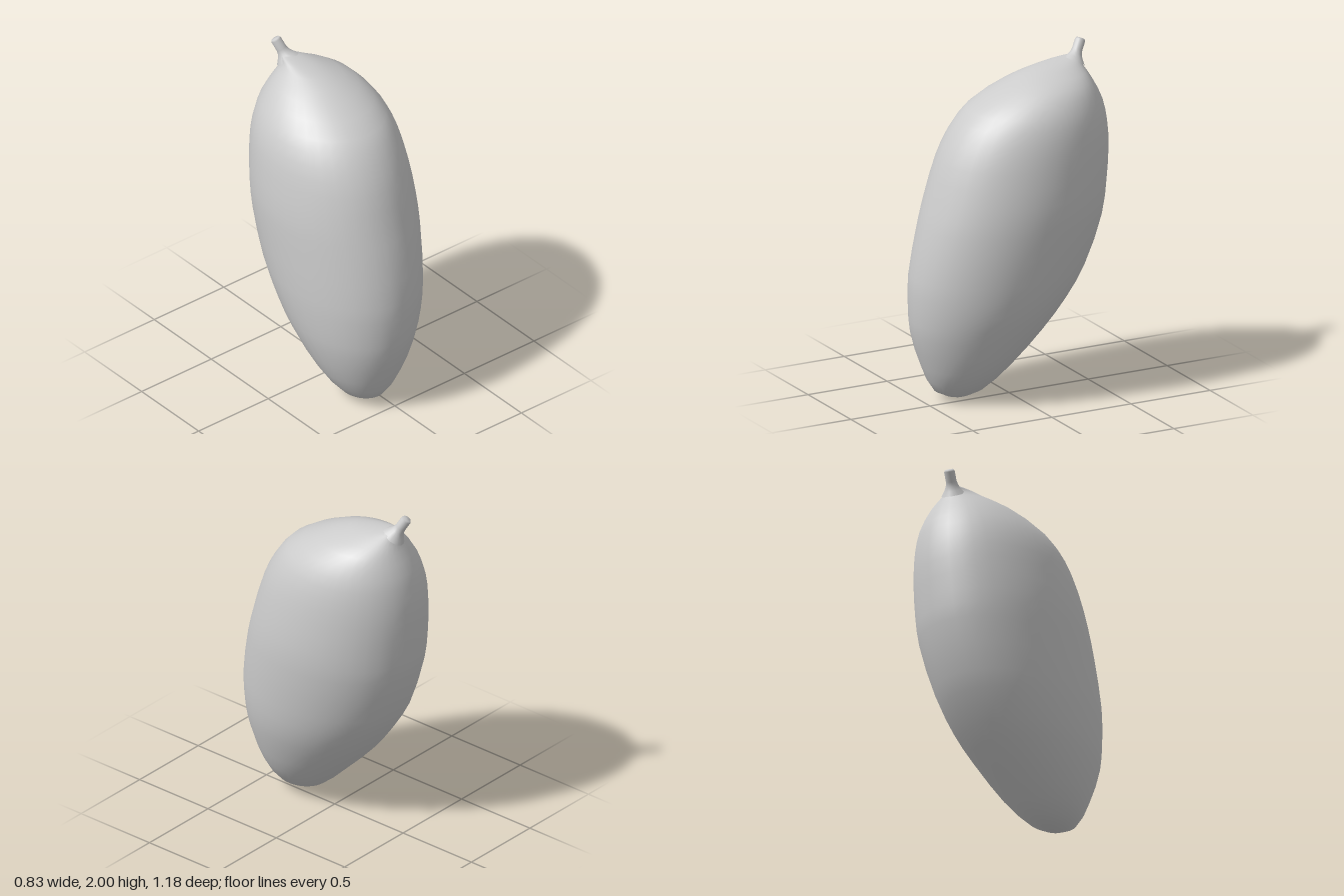
import * as THREE from 'three';

// Horizontal cross-sections: [y, front z, back z, min x, max x]
const SECTIONS = [
  [0.0, 0.29, 0.29, -0.06, -0.06],
  [0.055, 0.43, 0.14, -0.18, 0.06],
  [0.2, 0.505, -0.02, -0.28, 0.18],
  [0.4, 0.57, -0.215, -0.355, 0.275],
  [0.56, 0.587, -0.34, -0.387, 0.333],
  [0.74, 0.587, -0.45, -0.407, 0.37],
  [1.03, 0.535, -0.55, -0.417, 0.407],
  [1.2, 0.488, -0.572, -0.417, 0.413],
  [1.4, 0.425, -0.585, -0.395, 0.4],
  [1.55, 0.35, -0.575, -0.365, 0.38],
  [1.68, 0.245, -0.545, -0.305, 0.34],
  [1.8, 0.04, -0.485, -0.2, 0.25],
  [1.87, -0.14, -0.447, -0.1, 0.11],
  [1.9, -0.34, -0.445, -0.065, 0.02],
  [1.91, -0.43, -0.43, -0.025, -0.025],
];

// Smooth elliptical loft through the sections, closed at both tips
function fruitGeometry(steps = 2, sides = 36) {
  const lower = new THREE.CatmullRomCurve3(SECTIONS.map(([y, f, b]) => new THREE.Vector3(f, y, b)));
  const width = new THREE.CatmullRomCurve3(SECTIONS.map(([y, , , l, r]) => new THREE.Vector3(l, y, r)));
  const rings = (SECTIONS.length - 1) * steps;
  const positions = [], index = [];
  for (let i = 0; i <= rings; i++) {
    const d = lower.getPoint(i / rings), w = width.getPoint(i / rings);
    const count = i === 0 || i === rings ? 1 : sides;
    for (let j = 0; j < count; j++) {
      const a = (j / sides) * Math.PI * 2;
      positions.push(
        (w.x + w.z) / 2 + ((w.z - w.x) / 2) * Math.sin(a),
        d.y,
        (d.x + d.z) / 2 + ((d.x - d.z) / 2) * Math.cos(a)
      );
    }
  }
  const last = positions.length / 3 - 1;
  const at = (ring, j) => 1 + (ring - 1) * sides + (j % sides);
  for (let j = 0; j < sides; j++) {
    index.push(0, at(1, j + 1), at(1, j));
    for (let i = 1; i < rings - 1; i++) {
      const a = at(i, j), b = at(i, j + 1), c = at(i + 1, j), d = at(i + 1, j + 1);
      index.push(a, b, d, a, d, c);
    }
    index.push(at(rings - 1, j), at(rings - 1, j + 1), last);
  }
  const geometry = new THREE.BufferGeometry();
  geometry.setAttribute('position', new THREE.Float32BufferAttribute(positions, 3));
  geometry.setIndex(index);
  geometry.computeVertexNormals();
  return geometry;
}

export function createModel() {
  const group = new THREE.Group();
  group.name = 'fruit';
  const material = new THREE.MeshStandardMaterial({ color: 0xcccccc });

  const body = new THREE.Mesh(fruitGeometry(), material);
  body.name = 'fruitBody';
  group.add(body);

  // Leaning stem: flared foot, slim shaft and softly rounded end
  const base = new THREE.Vector3(-0.022, 1.875, -0.422);
  const tip = new THREE.Vector3(-0.055, 1.985, -0.483);
  const axis = tip.clone().sub(base);
  const h = axis.length();
  const profile = [
    [0.07, -0.015], [0.05, 0.012], [0.036, 0.035], [0.03, 0.06],
    [0.03, h - 0.012], [0.024, h - 0.002], [0, h],
  ].map(([r, y]) => new THREE.Vector2(r, y));
  const stem = new THREE.Mesh(new THREE.LatheGeometry(profile, 16), material);
  stem.name = 'stem';
  stem.position.copy(base);
  stem.quaternion.setFromUnitVectors(new THREE.Vector3(0, 1, 0), axis.normalize());
  group.add(stem);

  return group;
}
